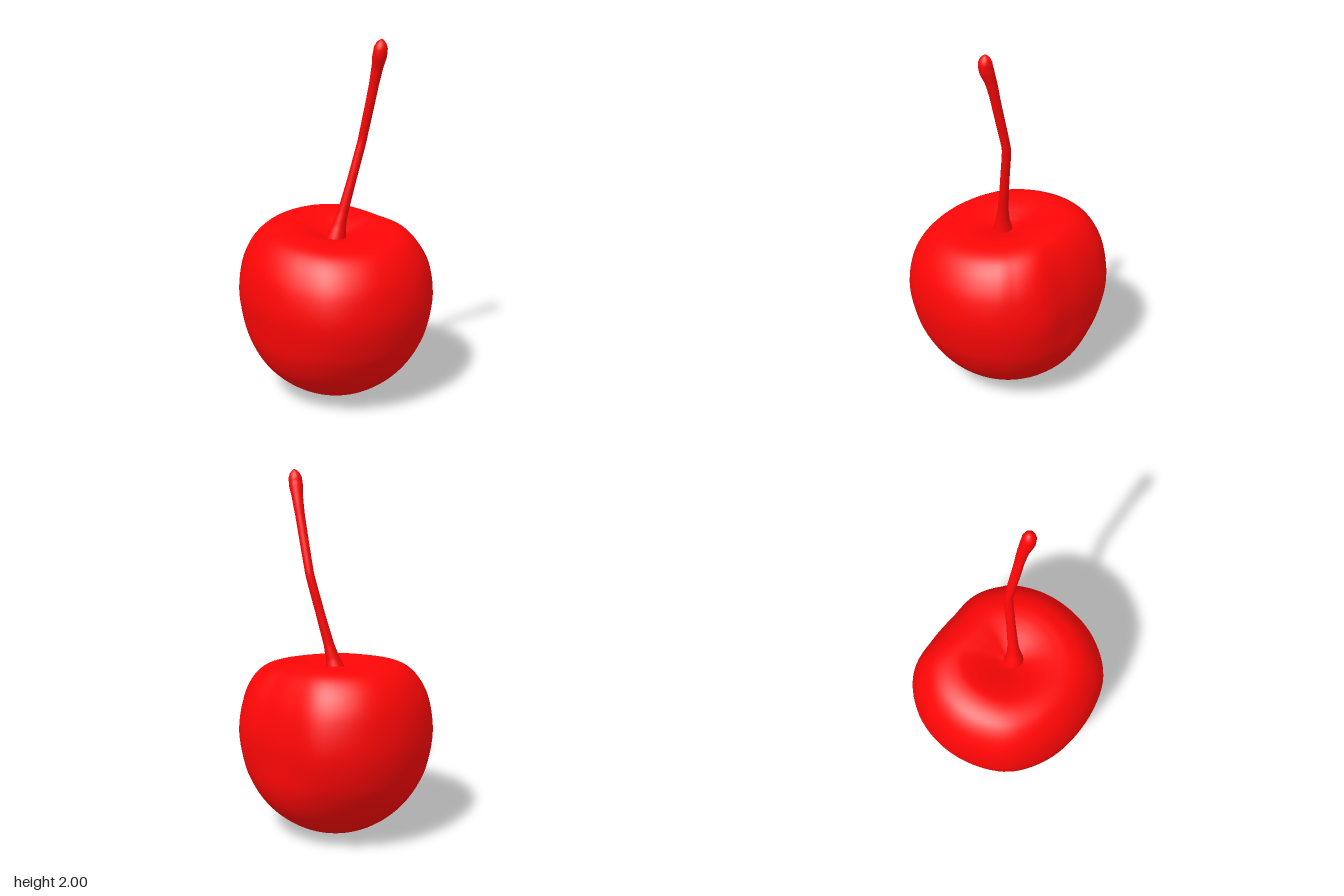
import * as THREE from 'three';
import { mergeVertices } from 'three/addons/utils/BufferGeometryUtils.js';

const red = new THREE.MeshStandardMaterial({ color: 0xff0606 });

// Smooth shared normals, with no seam
function smooth(geometry) {
  geometry.deleteAttribute('uv');
  geometry.deleteAttribute('normal');
  const merged = mergeVertices(geometry, 1e-5);
  merged.computeVertexNormals();
  return merged;
}

// Round fruit: a unit profile turned round, then made irregular by angle
function createFruit() {
  const profile = new THREE.SplineCurve([
    [0, 0], [0.2, 0.013], [0.4, 0.05], [0.59, 0.115], [0.75, 0.2], [0.87, 0.3], [0.95, 0.41],
    [1, 0.58], [0.967, 0.74], [0.885, 0.85], [0.77, 0.925], [0.64, 0.961], [0.5, 0.97],
    [0.35, 0.956], [0.2, 0.93], [0.1, 0.912], [0, 0.905],
  ].map(([r, y]) => new THREE.Vector2(r, y)));

  // Widest outline, from +x round through +z
  const radii = [0.54, 0.54, 0.54, 0.55, 0.553, 0.523, 0.51, 0.518,
    0.54, 0.54, 0.55, 0.56, 0.552, 0.495, 0.485, 0.528];
  const outline = new THREE.CatmullRomCurve3(radii.map((r, i) => {
    const a = (i / radii.length) * Math.PI * 2;
    return new THREE.Vector3(r * Math.cos(a), 0, r * Math.sin(a));
  }), true, 'catmullrom', 0.5);

  const geometry = new THREE.LatheGeometry(profile.getPoints(90), 96);
  const pos = geometry.attributes.position;
  for (let i = 0; i < pos.count; i++) {
    const x = pos.getX(i), y = pos.getY(i), z = pos.getZ(i);
    const r = Math.hypot(x, z);
    const a = (Math.atan2(z, x) + Math.PI * 2) % (Math.PI * 2);
    // The underside is round; the outline only shapes the upper part
    const upper = THREE.MathUtils.smoothstep(y, 0.15, 0.55);
    const reach = THREE.MathUtils.lerp(0.54, outline.getPoint(a / (Math.PI * 2)).length(), upper);
    // Shallow flattening of the shoulder at the back of the +x side
    const off = (a - Math.PI * 1.77) / 0.6;
    const dent = 0.05 * Math.exp(-off * off) * THREE.MathUtils.smoothstep(y, 0.5, 0.9);
    const radius = r * reach * (1 - dent);
    // Rim rises towards the back
    const rise = 0.03 * Math.cos(a - Math.PI * 1.4)
      * THREE.MathUtils.smoothstep(y, 0.4, 0.9) * Math.min(1, r / 0.5);
    pos.setXYZ(i, radius * Math.cos(a), y + rise, radius * Math.sin(a));
  }
  const mesh = new THREE.Mesh(smooth(geometry), red);
  mesh.name = 'fruit';
  return mesh;
}

// Bent stalk with a flared foot and a swollen tip
function createStem() {
  const path = new THREE.CatmullRomCurve3([
    [0, 0.885, 0.03], [0.012, 0.94, 0.03], [0.035, 1.03, 0.026], [0.09, 1.24, 0.014],
    [0.136, 1.42, 0.003], [0.143, 1.45, 0.003], [0.149, 1.48, 0.007], [0.183, 1.65, 0.038],
    [0.219, 1.84, 0.074], [0.235, 1.93, 0.1], [0.243, 2.0, 0.102],
  ].map((p) => new THREE.Vector3(...p)));
  // Thickness along the stalk: [fraction of length, radius]
  const widths = [[0, 0.06], [0.03, 0.052], [0.08, 0.038], [0.15, 0.029], [0.3, 0.025],
    [0.52, 0.024], [0.78, 0.026], [0.87, 0.031], [0.92, 0.038], [0.96, 0.036],
    [0.985, 0.024], [1, 0]];
  const widthAt = (t) => {
    let k = 1;
    while (k < widths.length - 1 && t > widths[k][0]) k++;
    const [t0, r0] = widths[k - 1], [t1, r1] = widths[k];
    return THREE.MathUtils.lerp(r0, r1, (t - t0) / (t1 - t0));
  };

  const rings = 100, sides = 20;
  const geometry = new THREE.TubeGeometry(path, rings, 1, sides);
  const pos = geometry.attributes.position;
  const v = new THREE.Vector3();
  for (let i = 0; i < pos.count; i++) {
    const t = Math.floor(i / (sides + 1)) / rings;
    const centre = path.getPointAt(t);
    v.fromBufferAttribute(pos, i).sub(centre).multiplyScalar(widthAt(t)).add(centre);
    pos.setXYZ(i, v.x, v.y, v.z);
  }
  const mesh = new THREE.Mesh(smooth(geometry), red);
  mesh.name = 'stem';
  return mesh;
}

export function createModel() {
  const group = new THREE.Group();
  group.name = 'cherry';
  group.add(createFruit(), createStem());
  return group;
}
